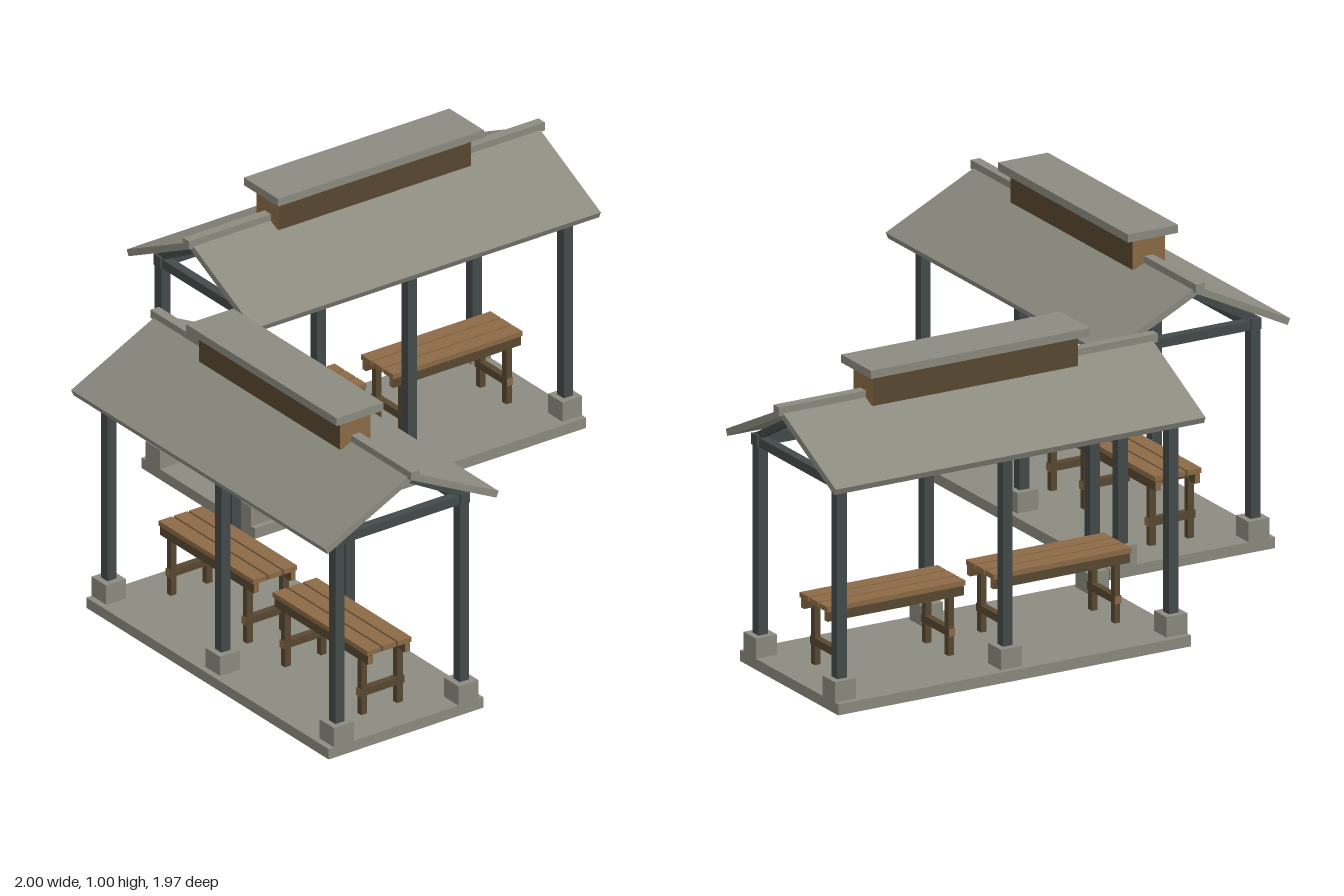
import * as THREE from 'three';

const mat = (name, color) => {
  const m = new THREE.MeshStandardMaterial({ color });
  m.name = name;
  return m;
};

export function createModel() {
  const concrete = mat('grey concrete', 0x8b8b80);
  const steel = mat('dark steel', 0x434b4a);
  const wood = mat('light wood', 0x8c6a46);
  const darkWood = mat('dark wood', 0x584830);

  const box = (parent, name, w, h, d, x, y, z, material) => {
    const m = new THREE.Mesh(new THREE.BoxGeometry(w, h, d), material);
    m.name = name;
    m.position.set(x, y, z);
    parent.add(m);
    return m;
  };
  // Timber with pale end grain on its x or z ends
  const endsX = [wood, wood, darkWood, darkWood, darkWood, darkWood];
  const endsZ = [darkWood, darkWood, darkWood, darkWood, wood, wood];

  function bench() {
    const g = new THREE.Group();
    g.name = 'bench';
    for (const k of [-1, 0, 1]) box(g, 'seatSlat', 0.485, 0.016, 0.05, 0, 0.26, k * 0.057, wood);
    for (const s of [-1, 1]) {
      box(g, 'apron', 0.48, 0.029, 0.018, 0, 0.2345, s * 0.069, endsX);
      box(g, 'stretcher', 0.022, 0.025, 0.166, s * 0.195, 0.11, 0, endsZ);
      box(g, 'seatBearer', 0.02, 0.02, 0.12, s * 0.195, 0.24, 0, darkWood);
      for (const t of [-1, 1]) box(g, 'leg', 0.02, 0.215, 0.022, s * 0.195, 0.1425, t * 0.067, darkWood);
    }
    return g;
  }

  // Shelter with its long axis on x
  function shelter() {
    const g = new THREE.Group();
    g.name = 'shelter';
    box(g, 'floorSlab', 1.24, 0.035, 0.58, 0, 0.0175, 0, concrete);

    for (const x of [-0.583, 0, 0.583]) {
      for (const s of [-1, 1]) {
        box(g, 'footing', 0.074, 0.065, 0.074, x, 0.0675, s * 0.233, concrete);
        box(g, 'post', 0.034, 0.62, 0.034, x, 0.4, s * 0.233, steel);
        // Sloping rafter from the wall beam to the ridge
        const dz = 0.235, dy = 0.128;
        const r = box(g, 'rafter', 0.026, 0.022, Math.hypot(dz, dy), x, 0.797, s * dz / 2, steel);
        r.rotation.x = s * Math.atan2(dy, dz);
      }
      box(g, 'tieBeam', 0.03, 0.03, 0.5, x, 0.718, 0, steel);
    }
    for (const s of [-1, 1]) {
      box(g, 'wallBeam', 1.21, 0.036, 0.034, 0, 0.722, s * 0.233, steel);
      const b = bench();
      b.position.x = s * 0.292;
      g.add(b);
    }

    // Gabled roof with open ends
    const profile = new THREE.Shape([
      [0, 0.897], [-0.325, 0.738], [-0.316, 0.718], [0, 0.873], [0.316, 0.718], [0.325, 0.738],
    ].map(([x, y]) => new THREE.Vector2(x, y)));
    const geo = new THREE.ExtrudeGeometry(profile, { depth: 1.3, bevelEnabled: false });
    geo.translate(0, 0, -0.65).rotateY(Math.PI / 2);
    const roof = new THREE.Mesh(geo, concrete);
    roof.name = 'gableRoof';
    g.add(roof);
    box(g, 'ridgeCap', 1.332, 0.028, 0.032, 0, 0.897, 0, concrete);

    // Raised ridge vent
    box(g, 'ventBody', 0.72, 0.105, 0.115, 0, 0.9265, 0, endsX);
    box(g, 'ventRoof', 0.77, 0.026, 0.176, 0, 0.987, 0, concrete);
    return g;
  }

  const model = new THREE.Group();
  model.name = 'picnicShelters';
  const back = shelter();
  back.name = 'backShelter';
  back.position.set(0.334, 0, -0.658);
  const side = shelter();
  side.name = 'sideShelter';
  side.position.set(-0.675, 0, 0.317);
  side.rotation.y = Math.PI / 2;
  model.add(back, side);
  return model;
}
